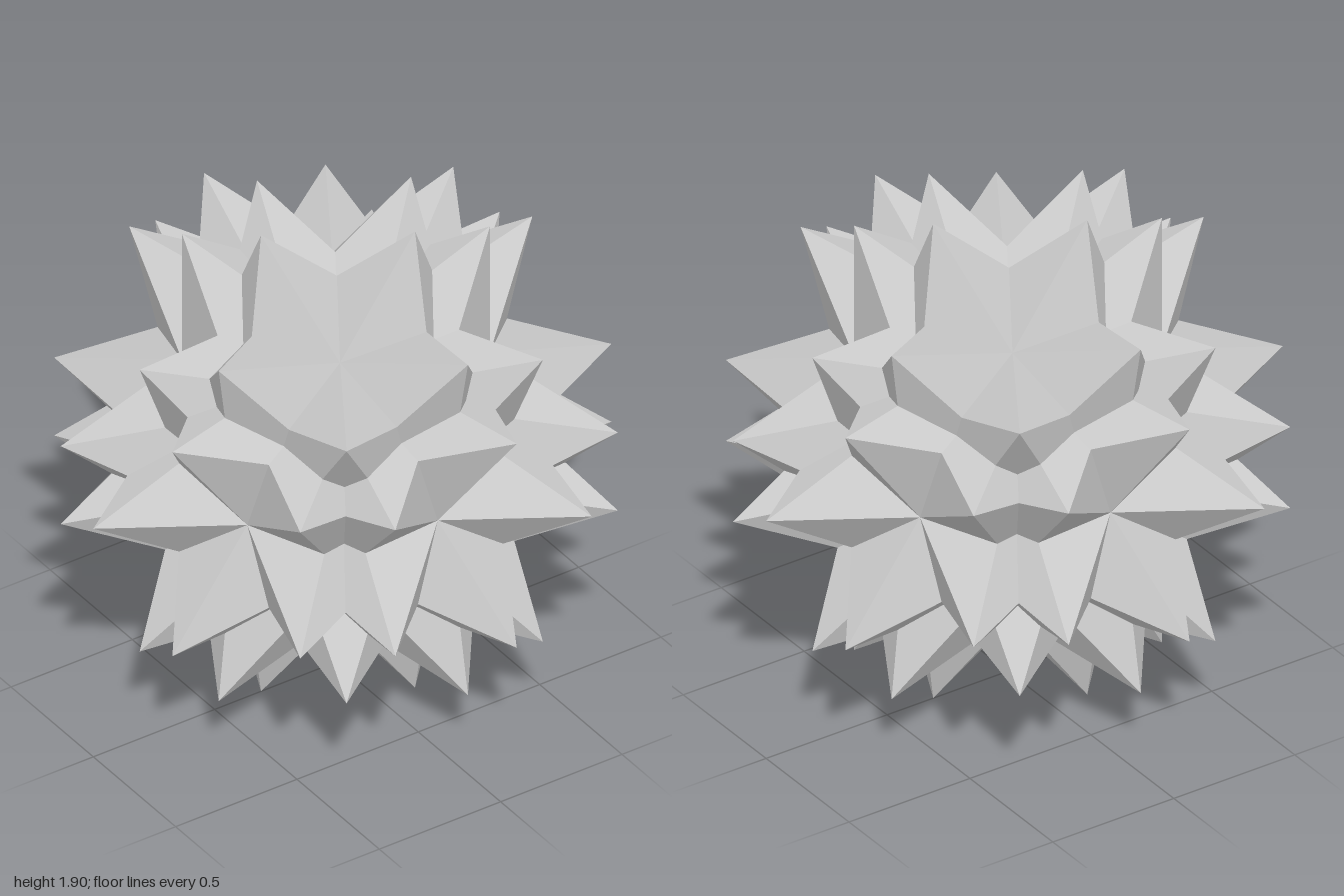
import * as THREE from 'three';

// Compound of five small stellated dodecahedra: 60 five-sided spikes,
// grouped in rings of five around the twelve icosahedral axes.
const INNER = 1 / Math.sqrt(5);                    // distance of the spike bases from the centre
const BASE_RADIUS = 0.3416;                        // circumradius of a spike's pentagonal base
const CENTRE_Y = Math.sin(Math.PI * 2 / 5);        // highest tip above the centre

function fiveFoldAxes() {
  const axes = [new THREE.Vector3(0, 0, 1)];
  for (let k = 0; k < 5; k++) {
    const a = Math.PI + k * Math.PI * 2 / 5;
    axes.push(new THREE.Vector3(2 * INNER * Math.cos(a), 2 * INNER * Math.sin(a), INNER));
  }
  return axes.concat(axes.map(v => v.clone().negate()));
}

export function createModel() {
  const model = new THREE.Group();
  model.name = 'spikyStar';
  const material = new THREE.MeshStandardMaterial({ color: 0xcccccc, flatShading: true });

  // Pentagonal spike along +y, tip at radius 1, one ridge facing +z
  const height = 1 - INNER;
  const spikeGeometry = new THREE.ConeGeometry(BASE_RADIUS, height, 5, 1, true);
  spikeGeometry.translate(0, INNER + height / 2, 0);

  const axes = fiveFoldAxes();
  axes.forEach((axis, i) => {
    const ring = new THREE.Group();
    ring.name = `spikeRing${i + 1}`;
    const neighbours = axes.filter(b => Math.abs(axis.dot(b) - INNER) < 0.01);

    // Each spike leans away from one neighbouring axis, its ridge running down to the dimple
    neighbours.forEach((b, j) => {
      const tip = axis.clone().multiplyScalar(Math.sqrt(5) / 2).addScaledVector(b, -0.5).normalize();
      const ridge = axis.clone().addScaledVector(tip, -axis.dot(tip)).normalize();
      const side = new THREE.Vector3().crossVectors(tip, ridge);
      const spike = new THREE.Mesh(spikeGeometry, material);
      spike.name = `spike${j + 1}`;
      spike.quaternion.setFromRotationMatrix(new THREE.Matrix4().makeBasis(side, tip, ridge));
      ring.add(spike);
    });
    model.add(ring);
  });

  model.children.forEach(ring => { ring.position.y = CENTRE_Y; });
  return model;
}
